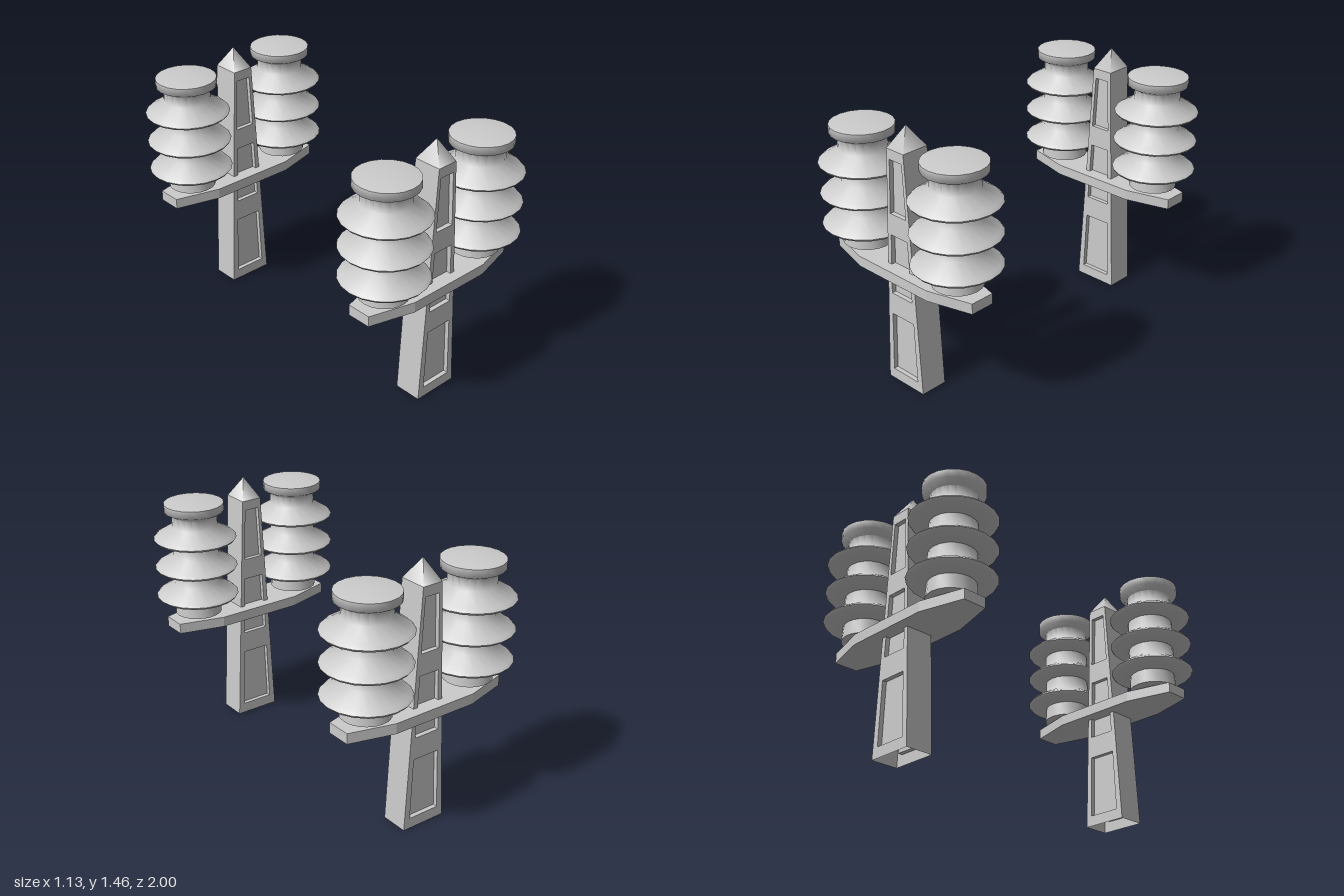
import * as THREE from 'three';
import { toCreasedNormals, mergeGeometries } from 'three/addons/utils/BufferGeometryUtils.js';

const grey = new THREE.MeshStandardMaterial({ color: 0xcccccc });
const shell = new THREE.MeshStandardMaterial({ color: 0xcccccc, side: THREE.DoubleSide });

const HALF_DEPTH = 0.077, RECESS = 0.025, SHAFT_TOP = 1.34;
// recessed panels: bottom y, top y, half width at bottom, half width at top
const PANELS = [
  [0.06, 0.405, 0.092, 0.079],
  [0.53, 0.87, 0.075, 0.059],
  [0.99, 1.285, 0.057, 0.043],
];

function mesh(name, geometry, material = grey) {
  const m = new THREE.Mesh(geometry, material);
  m.name = name;
  return m;
}

const trapezoid = (y0, y1, w0, w1) => [[-w0, y0], [w0, y0], [w1, y1], [-w1, y1]];
const toVectors = (pts) => pts.map(([x, y]) => new THREE.Vector2(x, y));

// Flat quad from four counter-clockwise corners
function quad(a, b, c, d) {
  const g = new THREE.BufferGeometry();
  g.setAttribute('position', new THREE.Float32BufferAttribute([a, b, c, a, c, d].flat(), 3));
  g.computeVertexNormals();
  return g;
}

function plain(geometry) {
  const g = geometry.toNonIndexed();
  g.deleteAttribute('uv');
  return g;
}

// Tapered shaft, open underneath, with sunken panels front and back
function shaftGeometry() {
  const outline = trapezoid(0, SHAFT_TOP, 0.13, 0.06);
  const face = new THREE.Shape(toVectors(outline));
  const parts = [];
  for (const p of PANELS) {
    const pts = trapezoid(...p);
    face.holes.push(new THREE.Path(toVectors(pts)));
    const back = HALF_DEPTH - RECESS;
    parts.push(plain(new THREE.ShapeGeometry(new THREE.Shape(toVectors(pts)))).translate(0, 0, back));
    pts.forEach((a, i) => {
      const b = pts[(i + 1) % 4];
      parts.push(quad([...a, HALF_DEPTH], [...b, HALF_DEPTH], [...b, back], [...a, back]));
    });
  }
  parts.push(plain(new THREE.ShapeGeometry(face)).translate(0, 0, HALF_DEPTH));
  const [, br, tr] = outline;
  parts.push(quad([...br, HALF_DEPTH], [...br, -HALF_DEPTH], [...tr, -HALF_DEPTH], [...tr, HALF_DEPTH]));
  const half = mergeGeometries(parts);
  return mergeGeometries([half, half.clone().rotateY(Math.PI)]);
}

// Softly shaded four-sided point
function tipGeometry() {
  const g = new THREE.ConeGeometry(Math.SQRT1_2, 0.115, 4, 1, true);
  g.rotateY(Math.PI / 4);
  g.scale(0.12, 1, HALF_DEPTH * 2);
  return g.translate(0, SHAFT_TOP + 0.0575, 0);
}

// Cross arm: plank with tapered ends
function crossArmGeometry() {
  const shape = new THREE.Shape(toVectors([
    [-0.5, -0.068], [-0.25, -0.135], [0.25, -0.135], [0.5, -0.068],
    [0.5, 0.068], [0.25, 0.135], [-0.25, 0.135], [-0.5, 0.068],
  ]));
  const g = new THREE.ExtrudeGeometry(shape, { depth: 0.058, bevelEnabled: false });
  return g.rotateX(-Math.PI / 2).translate(0, 0.642, 0);
}

// Insulator: turned body with three skirts and a wide cap
function insulatorGeometry() {
  const profile = [[0, 0.699], [0.06, 0.699], [0.132, 0.722], [0.126, 0.805]];
  for (let i = 0; i < 3; i++) {
    const y = 0.805 + i * 0.17;
    profile.push([0.126, y], [0.222, y + 0.014], [0.232, y + 0.027], [0.215, y + 0.044], [0.128, y + 0.098]);
  }
  profile.push([0.126, 1.305], [0.167, 1.328], [0.167, 1.373], [0, 1.398]);
  const points = toVectors(profile).filter((p, i, all) => i === 0 || !p.equals(all[i - 1]));
  return toCreasedNormals(new THREE.LatheGeometry(points, 20), 1.1);
}

export function createModel() {
  const model = new THREE.Group();
  const shaft = shaftGeometry(), tip = tipGeometry();
  const arm = crossArmGeometry(), insulator = insulatorGeometry();

  for (const [name, z] of [['frontPost', 0.768], ['backPost', -0.768]]) {
    const post = new THREE.Group();
    post.name = name;
    post.position.z = z;
    post.add(mesh('shaft', shaft, shell), mesh('tip', tip), mesh('crossArm', arm));
    for (const side of [1, -1]) {
      const body = mesh(side > 0 ? 'leftInsulator' : 'rightInsulator', insulator);
      body.position.x = side * 0.333;
      post.add(body);
    }
    model.add(post);
  }
  return model;
}
